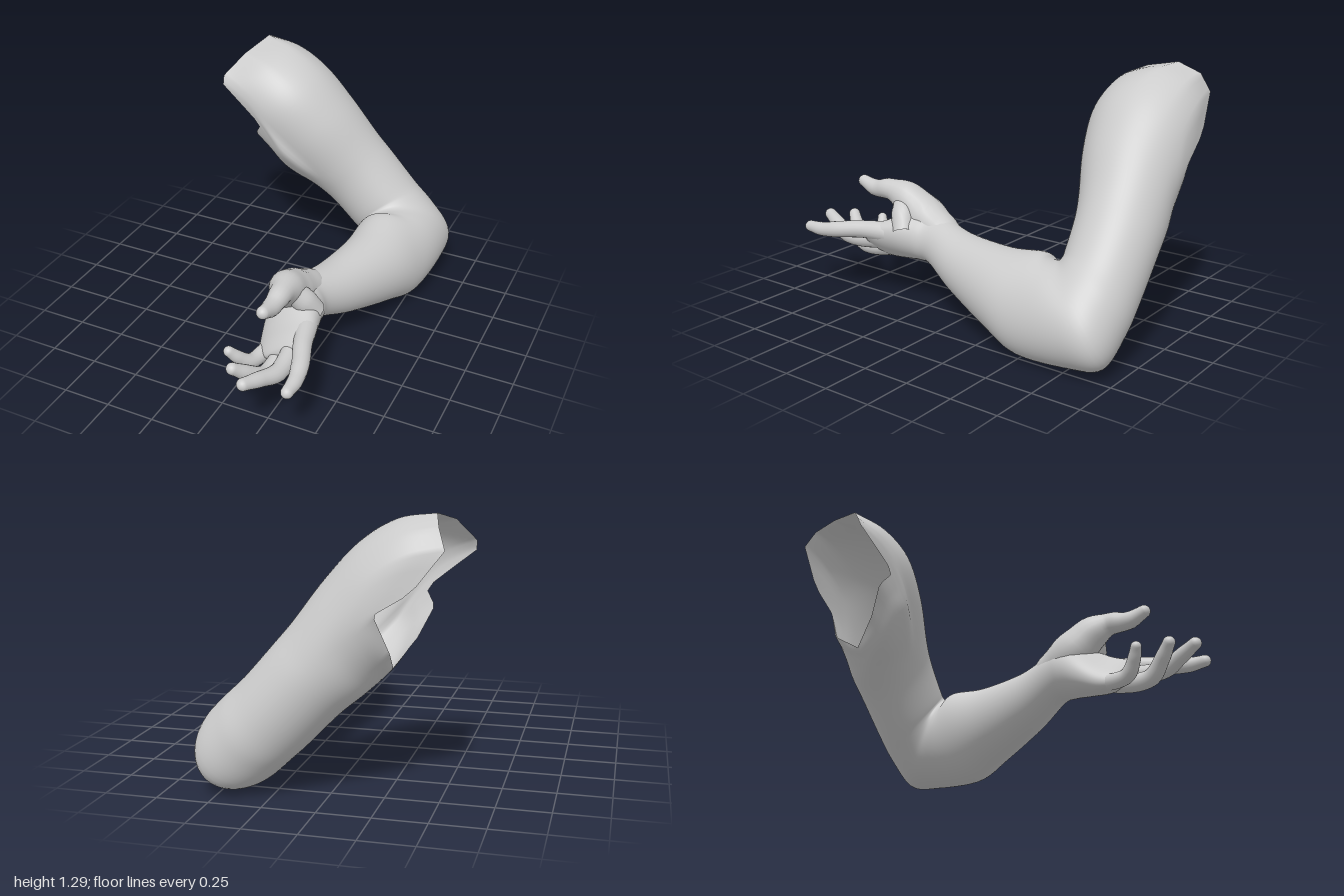
import * as THREE from 'three';

const V = (x, y, z) => new THREE.Vector3(x, y, z);
const ROLL = 0.806, COLS = 72, H = Math.PI / 2;
// upper-arm coordinates: s runs up the arm, n across it
const at = (s, n, z) => V(-0.72 * s + 0.69 * n, 0.69 * s + 0.72 * n, z);

// Edge of the shoulder cut: [degrees round the arm from the front, s, n, z]
const CUT = [
  [0, 1.235, 0.41, -0.46], [45, 1.25, 0.54, -0.56], [90, 1.245, 0.605, -0.76],
  [135, 1.23, 0.55, -0.87], [160, 1.19, 0.46, -0.91], [172, 0.97, 0.425, -0.945],
  [186, 0.79, 0.465, -0.965], [230, 0.7, 0.295, -0.87], [265, 0.62, 0.24, -0.72],
  [300, 0.75, 0.265, -0.56], [322, 0.885, 0.32, -0.46], [338, 0.9, 0.41, -0.415],
  [350, 1.2, 0.38, -0.44], [360, 1.235, 0.41, -0.46]];
const cutPoint = deg => {
  const i = CUT.findIndex(c => c[0] > deg), a = CUT[i - 1], b = CUT[i];
  return [1, 2, 3].map(k => THREE.MathUtils.mapLinear(deg, a[0], b[0], a[k], b[k]));
};

// Smooth skin through rings of points (each ring has the same count)
function loft(rings, steps, material, name) {
  const cols = rings[0].length;
  const rows = (rings.length - 1) * steps;
  const pos = [], idx = [];
  const curves = rings[0].map((_, j) =>
    new THREE.CatmullRomCurve3(rings.map(r => r[j]), false, 'catmullrom', 0.5));
  for (let i = 0; i <= rows; i++)
    for (let j = 0; j < cols; j++) pos.push(...curves[j].getPoint(i / rows).toArray());
  for (let i = 0; i < rows; i++)
    for (let j = 0; j < cols; j++) {
      const k = (j + 1) % cols;
      const a = i * cols + j, b = i * cols + k, c = a + cols, d = b + cols;
      idx.push(a, c, b, b, c, d);
    }
  const geo = new THREE.BufferGeometry();
  geo.setAttribute('position', new THREE.Float32BufferAttribute(pos, 3));
  geo.setIndex(idx);
  geo.computeVertexNormals();
  const mesh = new THREE.Mesh(geo, material);
  mesh.name = name;
  return mesh;
}

// Elliptical ring; phi tips it round the elbow, roll turns it about z
function ring(c, phi, roll, hA, hB) {
  const B = V(Math.cos(roll), Math.sin(roll), 0);
  const A = V(-Math.sin(roll), Math.cos(roll), 0).multiplyScalar(Math.sin(phi));
  A.z = Math.cos(phi);
  return Array.from({ length: COLS }, (_, j) => {
    const t = j / COLS * Math.PI * 2;
    return c.clone().addScaledVector(A, Math.cos(t) * hA).addScaledVector(B, Math.sin(t) * hB);
  });
}

// Shoulder ring: an ellipse that turns into the cut edge as f goes to 1
const shoulderRing = (f, n, z, hA, hB) => Array.from({ length: COLS }, (_, j) => {
  const t = j / COLS * Math.PI * 2, w = f ** 5;
  const [cs, cn, cz] = cutPoint(j / COLS * 360);
  return at(THREE.MathUtils.lerp(0.48, cs, f),
    THREE.MathUtils.lerp(n + hB * Math.sin(t), cn, w),
    THREE.MathUtils.lerp(z + hA * Math.cos(t), cz, w));
});

// Finger: round rings along a curve, radii per point, domed tip
function digit(points, radii, material, name) {
  const path = new THREE.CatmullRomCurve3(points.map(p => V(...p)));
  const rings = [], N = 14, cols = 18;
  const add = (c, d, r) => {
    const A = V(-0.57, 0.82, 0);
    A.addScaledVector(d, -A.dot(d)).normalize();
    const B = A.clone().cross(d);
    rings.push(Array.from({ length: cols }, (_, j) => {
      const t = j / cols * Math.PI * 2;
      return c.clone().addScaledVector(A, r * Math.cos(t)).addScaledVector(B, r * Math.sin(t));
    }));
  };
  const last = radii.length - 1, tip = radii[last];
  for (let i = 0; i <= N; i++) {
    const u = i / N * last, k = Math.min(Math.floor(u), last - 1);
    const f = THREE.MathUtils.smoothstep(u - k, 0, 1);
    add(path.getPoint(i / N), path.getTangent(i / N), radii[k] + (radii[k + 1] - radii[k]) * f);
  }
  const end = path.getPoint(1), dir = path.getTangent(1);
  for (const a of [0.4, 0.8, 1.2, 1.5, 1.57])
    add(end.clone().addScaledVector(dir, tip * Math.sin(a)), dir, tip * Math.cos(a));
  return loft(rings, 2, material, name);
}

export function createModel() {
  const group = new THREE.Group();
  const skin = new THREE.MeshStandardMaterial({ color: 0xcccccc, side: THREE.DoubleSide });

  // Open shoulder, upper arm, bent elbow, forearm and palm in one skin
  const arm = [
    shoulderRing(1, 0.495, -0.683, 0.284, 0.262),
    shoulderRing(0.8, 0.495, -0.683, 0.284, 0.262),
    shoulderRing(0.55, 0.497, -0.683, 0.284, 0.263),
    shoulderRing(0.25, 0.486, -0.707, 0.26, 0.252),
    ring(at(0.44, 0.467, -0.75), 0, ROLL, 0.226, 0.229),
    ring(at(0.3, 0.463, -0.772), 0.05, ROLL, 0.213, 0.216),
    ring(at(0.1, 0.45, -0.785), 0.25, ROLL, 0.213, 0.21),
    ring(at(0, 0.45, -0.787), 0.53, ROLL, 0.237, 0.21),
    ring(at(-0.1, 0.45, -0.762), 0.84, 0.78, 0.286, 0.21),
    ring(at(-0.12, 0.45, -0.665), 1.1, 0.66, 0.264, 0.207),
    ring(V(0.385, 0.243, -0.5), H, 0.47, 0.25, 0.192),
    ring(V(0.357, 0.26, -0.3), H, 0.5, 0.206, 0.18),
    ring(V(0.28, 0.305, 0), H, 0.6, 0.155, 0.143),
    ring(V(0.217, 0.362, 0.2), H, 0.62, 0.13, 0.114),
    ring(V(0.208, 0.37, 0.29), H, 0.62, 0.13, 0.128),
    ring(V(0.215, 0.352, 0.39), H, 0.6, 0.117, 0.155),
    ring(V(0.235, 0.32, 0.5), H, 0.6, 0.085, 0.165),
    ring(V(0.253, 0.315, 0.58), H, 0.6, 0.058, 0.152),
    ring(V(0.255, 0.315, 0.62), H, 0.6, 0.025, 0.1),
    ring(V(0.255, 0.315, 0.63), H, 0.6, 0.0005, 0.001),
  ];
  group.add(loft(arm, 6, skin, 'armAndPalm'));

  // Fingers from base to tip, thickened at the joints
  const fingers = {
    littleFinger: [[0.17, 0.275, 0.46], [0.14, 0.24, 0.57], [0.117, 0.245, 0.665], [0.08, 0.295, 0.72], [0.048, 0.342, 0.752]],
    ringFinger: [[0.225, 0.285, 0.49], [0.235, 0.25, 0.62], [0.22, 0.25, 0.735], [0.175, 0.31, 0.82], [0.135, 0.362, 0.88]],
    middleFinger: [[0.285, 0.34, 0.49], [0.305, 0.312, 0.64], [0.307, 0.312, 0.765], [0.272, 0.342, 0.87], [0.235, 0.37, 0.965]],
    indexFinger: [[0.32, 0.385, 0.46], [0.365, 0.385, 0.61], [0.41, 0.372, 0.73], [0.43, 0.359, 0.83], [0.432, 0.36, 0.918]],
  };
  const size = { littleFinger: 0.87, ringFinger: 1, middleFinger: 1.03, indexFinger: 1 };
  for (const [name, pts] of Object.entries(fingers))
    group.add(digit(pts, [0.054, 0.046, 0.043, 0.037, 0.03].map(r => r * size[name]), skin, name));

  // Thumb with its fleshy base, and the web towards the index finger
  group.add(digit(
    [[0.222, 0.36, 0.08], [0.2, 0.41, 0.2], [0.181, 0.463, 0.32], [0.195, 0.548, 0.43], [0.214, 0.583, 0.525], [0.215, 0.572, 0.63], [0.215, 0.598, 0.718]],
    [0.07, 0.094, 0.108, 0.087, 0.057, 0.045, 0.032], skin, 'thumb'));
  group.add(digit([[0.31, 0.4, 0.36], [0.272, 0.475, 0.395], [0.225, 0.54, 0.435]], [0.06, 0.062, 0.05], skin, 'thumbWeb'));
  return group;
}
